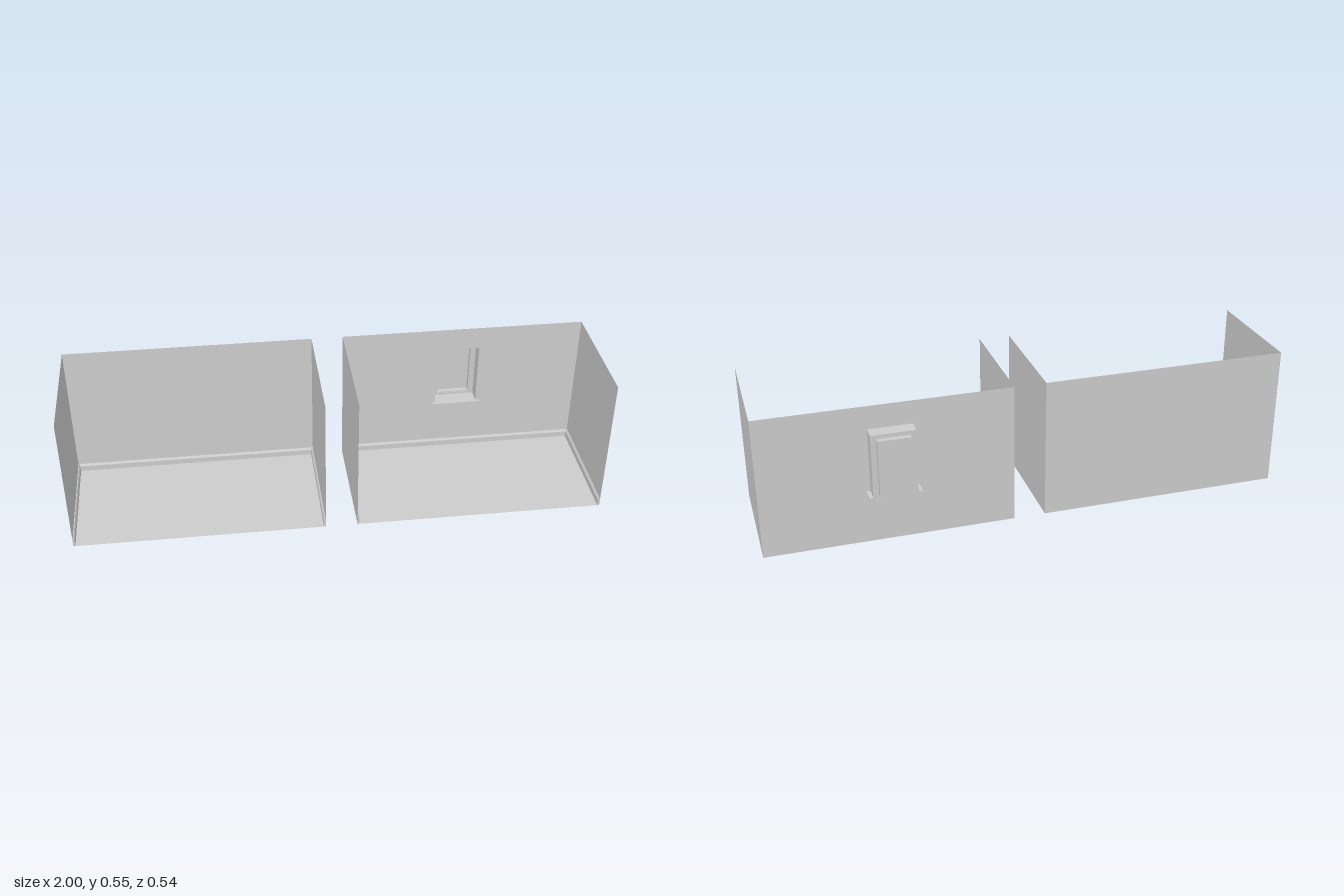
import * as THREE from 'three';

const mat = new THREE.MeshStandardMaterial({ color: 0xcccccc, side: THREE.DoubleSide, flatShading: true });
const H = 0.545, BACK = -0.195, FRONT = 0.27, DEPTH = FRONT - BACK, WIDTH = 0.94;

function add(group, name, geometry, x = 0, y = 0, z = 0) {
  const mesh = new THREE.Mesh(geometry, mat);
  mesh.name = name;
  mesh.position.set(x, y, z);
  group.add(mesh);
  return mesh;
}

// Rectangle path, corners counter-clockwise
function rect(x0, x1, y0, y1, Type = THREE.Shape) {
  return new Type([[x0, y0], [x1, y0], [x1, y1], [x0, y1]].map(([x, y]) => new THREE.Vector2(x, y)));
}

// Stepped recess: rectangular rings [x0, x1, y0, y1, z] joined in order, last one closed
function recess(rings) {
  const pos = [], idx = [];
  for (const [x0, x1, y0, y1, z] of rings) pos.push(x0, y0, z, x1, y0, z, x1, y1, z, x0, y1, z);
  for (let r = 0; r < rings.length - 1; r++) {
    for (let i = 0; i < 4; i++) {
      const a = r * 4 + i, b = r * 4 + (i + 1) % 4;
      idx.push(a, b, b + 4, a, b + 4, a + 4);
    }
  }
  const e = (rings.length - 1) * 4;
  idx.push(e, e + 1, e + 2, e, e + 2, e + 3);
  const g = new THREE.BufferGeometry();
  g.setAttribute('position', new THREE.Float32BufferAttribute(pos, 3));
  g.setIndex(idx);
  const flat = g.toNonIndexed();
  flat.computeVertexNormals();
  return flat;
}

// Skirting board with a chamfered top edge; runs along +z, projects towards +x
function skirting(length) {
  const s = new THREE.Shape([[0, 0], [0.007, 0], [0.007, 0.022], [0.003, 0.03], [0, 0.03]]
    .map(([x, y]) => new THREE.Vector2(x, y)));
  return new THREE.ExtrudeGeometry(s, { depth: length, bevelEnabled: false });
}

function room(name, cx, opening) {
  const g = new THREE.Group();
  g.name = name;
  const x0 = cx - WIDTH / 2, x1 = cx + WIDTH / 2, zc = (FRONT + BACK) / 2, gap = 0.0006;

  add(g, 'floor', new THREE.PlaneGeometry(WIDTH, DEPTH).rotateX(-Math.PI / 2), cx, 0, zc);

  // Back wall, cut where there is a window
  const wall = rect(x0, x1, 0, H);
  if (opening) wall.holes.push(rect(...opening, THREE.Path));
  add(g, 'backWall', new THREE.ShapeGeometry(wall), 0, 0, BACK);

  // Side walls
  const side = new THREE.PlaneGeometry(DEPTH, H).rotateY(Math.PI / 2);
  add(g, 'rightWall', side, x0, H / 2, zc);
  add(g, 'leftWall', side, x1, H / 2, zc);

  // Skirting along the three walls
  add(g, 'rightSkirting', skirting(DEPTH - gap), x0 + gap, gap, BACK + gap);
  add(g, 'leftSkirting', skirting(DEPTH - gap), x1 - gap, gap, FRONT).rotation.y = Math.PI;
  add(g, 'backSkirting', skirting(WIDTH - 2 * gap), x1 - gap, gap, BACK + gap).rotation.y = -Math.PI / 2;
  return g;
}

export function createModel() {
  const model = new THREE.Group();
  model.name = 'twoRooms';
  const opening = [0.435, 0.6, 0.209, 0.455];
  model.add(room('plainRoom', -0.53, null));
  model.add(room('windowRoom', 0.53, opening));

  // Window niche, narrowing to a frame and a closed pane
  const win = new THREE.Group();
  win.name = 'window';
  add(win, 'windowRecess', recess([
    [...opening, BACK],
    [...opening, -0.249],
    [0.453, 0.583, 0.217, 0.444, -0.249],
    [0.453, 0.583, 0.217, 0.444, -0.251],
    [0.457, 0.579, 0.221, 0.44, -0.251],
    [0.457, 0.579, 0.221, 0.44, -0.27],
  ]));
  add(win, 'windowSill', new THREE.BoxGeometry(0.195, 0.009, 0.065), 0.518, 0.2045, -0.2165);
  model.add(win);
  return model;
}
